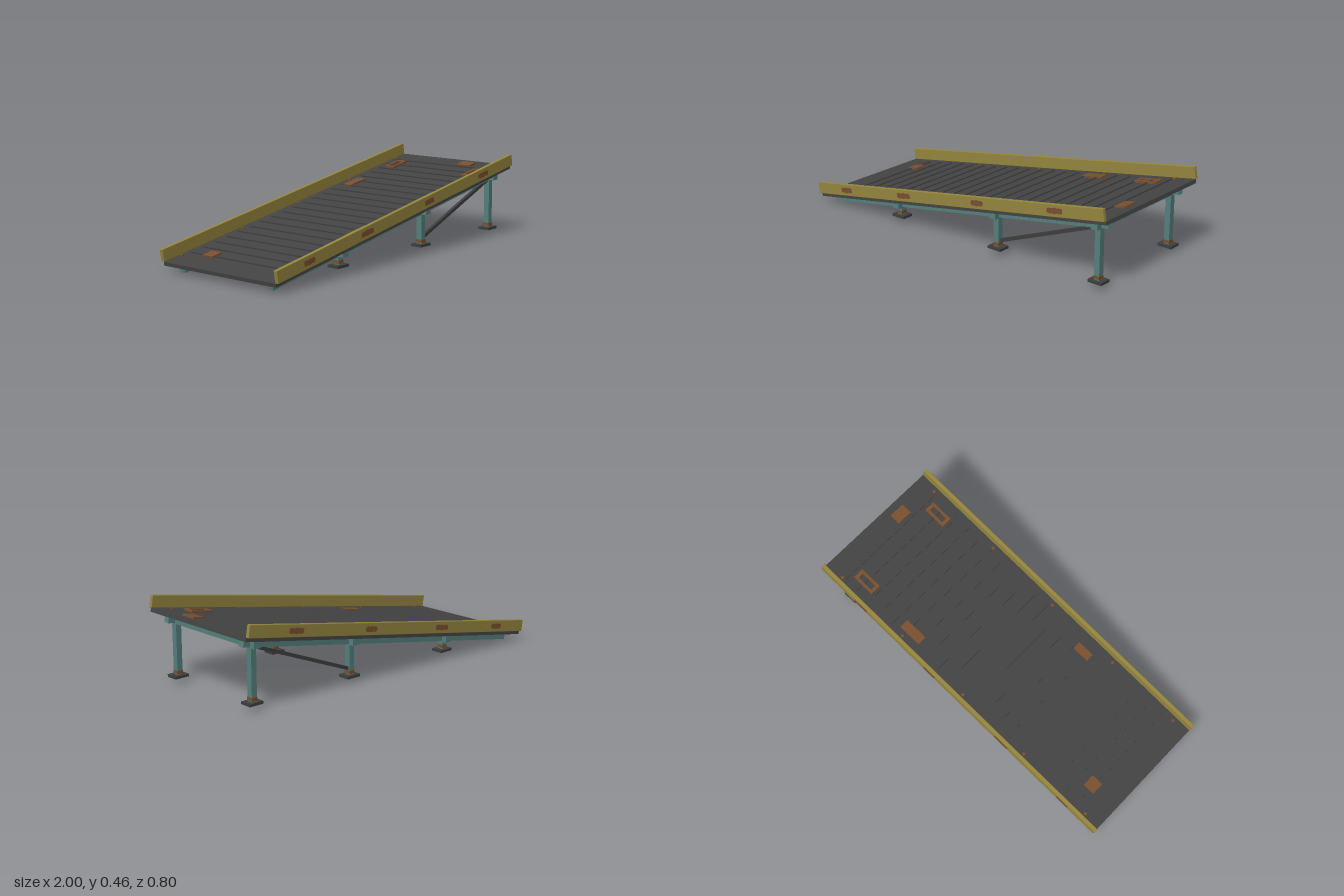
import * as THREE from 'three';
import { RoundedBoxGeometry } from 'three/addons/geometries/RoundedBoxGeometry.js';

const SLOPE = THREE.MathUtils.degToRad(9.8);

function material(name, color) {
  const m = new THREE.MeshStandardMaterial({ color });
  m.name = name;
  return m;
}

export function createModel() {
  const steel = material('dark deck steel', 0x444444);
  const iron = material('brace and foot iron', 0x3e3e3e);
  const yellow = material('worn yellow paint', 0x96863f);
  const teal = material('teal frame paint', 0x55807c);
  const rust = material('rust', 0x7a5030);

  const model = new THREE.Group();
  model.name = 'loadingRamp';

  function add(parent, name, geometry, mat, x, y, z) {
    const mesh = new THREE.Mesh(geometry, mat);
    mesh.name = name;
    mesh.position.set(x, y, z);
    parent.add(mesh);
    return mesh;
  }
  const box = (parent, name, mat, w, h, d, x, y, z) =>
    add(parent, name, new THREE.BoxGeometry(w, h, d), mat, x, y, z);

  // Sloped assembly: local y = 0 is the top of the deck
  const slope = new THREE.Group();
  slope.name = 'slopedDeck';
  slope.position.set(0.0055, 0.226, 0);
  slope.rotation.z = SLOPE;
  model.add(slope);
  const local = x => (x - 0.0055) / Math.cos(SLOPE);

  box(slope, 'deckPlate', steel, 2.018, 0.02, 0.764, 0, -0.01, 0);

  // Anti-slip ribs across the deck
  for (let i = 0; i < 21; i++) {
    box(slope, 'deckRib', steel, 0.013, 0.008, 0.68, local(-0.829 + i * 0.0853), 0.003, 0);
  }

  // Rust patches lying on the deck: x, z, width, depth
  for (const [x, z, w, d] of [
    [-0.815, -0.21, 0.07, 0.07], [0.42, -0.297, 0.134, 0.054],
    [-0.291, 0.283, 0.102, 0.046], [0.925, 0.128, 0.064, 0.092],
  ]) box(slope, 'deckRustPatch', rust, w, 0.009, d, local(x), 0.0045, z);

  // Rectangular lifting frames near the high end
  const frame = new THREE.Shape([[-0.067, -0.031], [0.067, -0.031], [0.067, 0.031], [-0.067, 0.031]]
    .map(p => new THREE.Vector2(...p)));
  frame.holes.push(new THREE.Path([[-0.046, -0.016], [-0.046, 0.016], [0.046, 0.016], [0.046, -0.016]]
    .map(p => new THREE.Vector2(...p))));
  const frameGeo = new THREE.ExtrudeGeometry(frame, { depth: 0.012, bevelEnabled: false });
  frameGeo.rotateX(-Math.PI / 2);
  for (const z of [-0.275, 0.272]) add(slope, 'liftingFrame', frameGeo, rust, local(0.783), 0, z);

  // Ragged rust stain for the kerb sides
  const upper = [0.011, 0.016, 0.012, 0.017, 0.013, 0.015, 0.01];
  const outline = upper.map((y, i) => new THREE.Vector2(-0.5 + i / 6, y))
    .concat([...upper].map((y, i) => new THREE.Vector2(0.5 - i / 6, -y)));
  const stainGeo = new THREE.ExtrudeGeometry(new THREE.Shape(outline), { depth: 0.003, bevelEnabled: false });

  const boltGeo = new THREE.CylinderGeometry(0.009, 0.009, 0.008, 8);
  for (const side of [-1, 1]) {
    // Yellow kerbs with their stains and bolts
    add(slope, 'kerb', new RoundedBoxGeometry(2.018, 0.066, 0.021, 1, 0.003), yellow, 0, 0.033, side * 0.3885);
    for (const [x, w] of [[-0.76, 0.08], [-0.318, 0.095], [0.205, 0.08], [0.707, 0.095]]) {
      const stain = add(slope, 'kerbRustStain', stainGeo, rust, local(x), 0.033, side * 0.398);
      stain.scale.x = w;
      if (side < 0) stain.rotation.y = Math.PI;
    }
    for (let i = -2; i <= 2; i++) add(slope, 'deckBolt', boltGeo, rust, local(i * 0.445), 0.004, side * 0.352);

    // Long beams under the deck
    box(slope, 'longBeam', teal, 1.93, 0.041, 0.034, 0, -0.0405, side * 0.3);
  }

  // Supports: cross beam, two legs, rust collars and foot plates
  for (const x of [-0.435, 0.258, 0.903]) {
    const top = 0.226 + Math.tan(SLOPE) * x - 0.026;
    box(model, 'crossBeam', teal, 0.042, 0.037, 0.696, x, top - 0.0185, 0);
    for (const side of [-1, 1]) {
      box(model, 'leg', teal, 0.032, top - 0.045, 0.033, x, (top + 0.035) / 2, side * 0.3);
      box(model, 'legRustCollar', rust, 0.035, 0.018, 0.037, x, 0.059, side * 0.3);
      box(model, 'footPlate', iron, 0.084, 0.014, 0.068, x, 0.038, side * 0.3);
    }
  }

  // Diagonal braces between the middle and high legs
  const dx = 0.64, dy = 0.25;
  for (const side of [-1, 1]) {
    const brace = box(model, 'diagonalBrace', iron, Math.hypot(dx, dy), 0.018, 0.018, 0.583, 0.2, side * 0.3);
    brace.rotation.z = Math.atan2(dy, dx);
  }

  return model;
}
